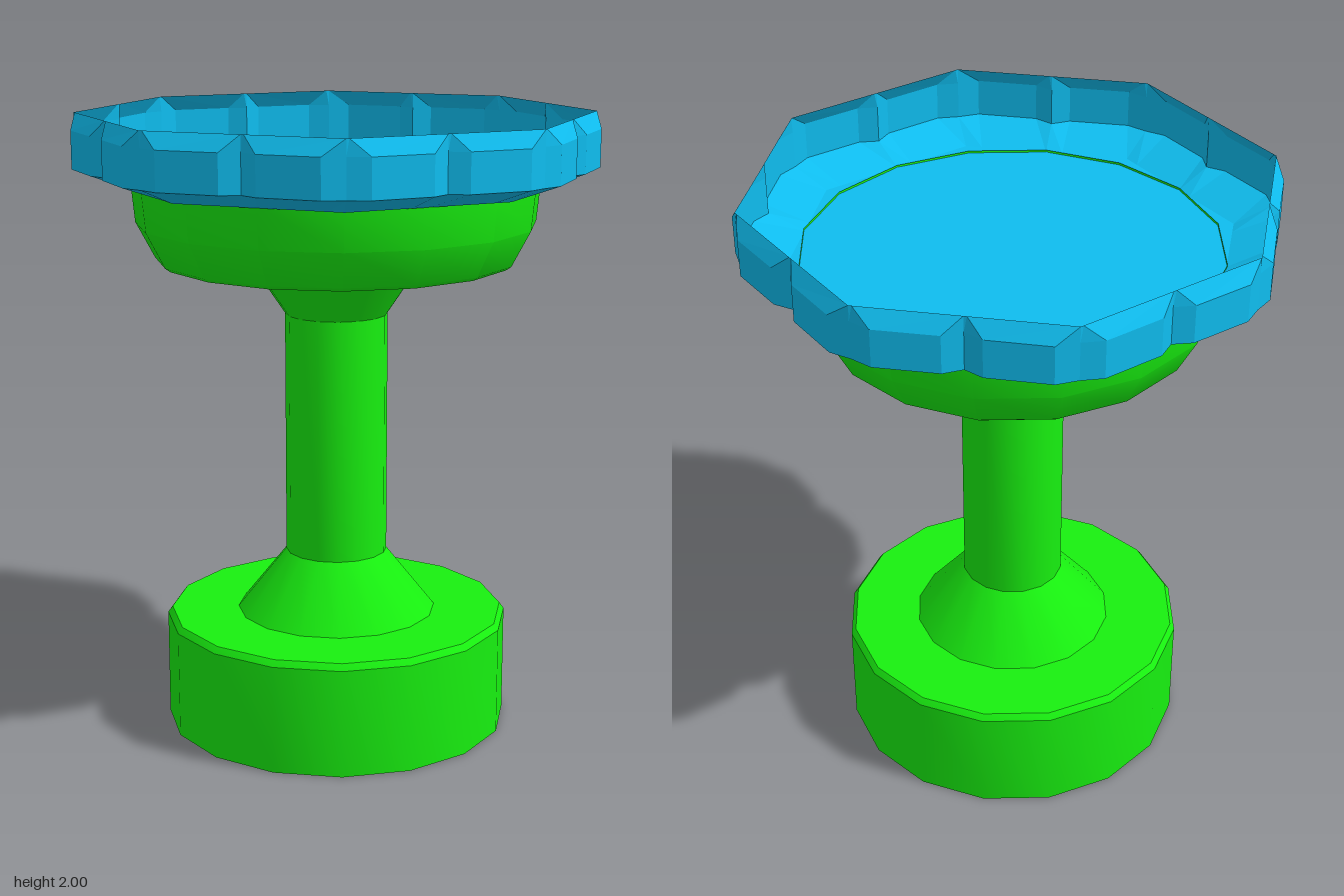
import * as THREE from 'three';
import { toCreasedNormals } from 'three/addons/utils/BufferGeometryUtils.js';

const green = new THREE.MeshStandardMaterial({ color: 0x18f010, side: THREE.DoubleSide });
const blue = new THREE.MeshStandardMaterial({ color: 0x0fbdef, side: THREE.DoubleSide, flatShading: true });

// Turned 16-sided part from [radius, height] pairs, bottom to top
function turned(name, profile) {
  const points = profile.map(([r, y]) => new THREE.Vector2(r, y));
  const mesh = new THREE.Mesh(toCreasedNormals(new THREE.LatheGeometry(points, 16), 0.5), green);
  mesh.name = name;
  return mesh;
}

// Octagonal ring of 48 points; t says where the two middle points of each half side sit
function octagonRing(radius, y, t) {
  const ring = [];
  const middle = radius * Math.cos(Math.PI / 8);
  for (let i = 0; i < 16; i++) {
    const at = (k) => {
      const a = (k * Math.PI) / 8, r = k % 2 ? middle : radius;
      return new THREE.Vector3(r * Math.cos(a), y, r * Math.sin(a));
    };
    const a = at(i), b = at(i + 1);
    ring.push(a, a.clone().lerp(b, t), a.clone().lerp(b, 1 - t));
  }
  return ring;
}

// The same ring with a raised pad on every half side
function paddedRing(radius, y) {
  const ring = octagonRing(radius, y, 0.2);
  for (let i = 0; i < 16; i++) {
    const wide = [0.828, 0.0846], narrow = [0.79, 0.321];
    const pads = i % 2 ? [narrow, wide] : [wide, narrow];
    pads.forEach(([r, offset], k) => {
      const a = i % 2 ? ((i + 1) * Math.PI) / 8 - offset : (i * Math.PI) / 8 + offset;
      ring[i * 3 + 1 + k].set(r * Math.cos(a), y, r * Math.sin(a));
    });
  }
  return ring;
}

// Joins rings from bottom to top with outward-facing quads
function skin(rings) {
  const n = rings[0].length, index = [];
  for (let j = 0; j < rings.length - 1; j++) {
    for (let i = 0; i < n; i++) {
      const a = j * n + i, b = j * n + ((i + 1) % n);
      index.push(a, a + n, b, b, a + n, b + n);
    }
  }
  const geometry = new THREE.BufferGeometry().setFromPoints(rings.flat());
  geometry.setIndex(index);
  geometry.computeVertexNormals();
  return geometry;
}

export function createModel() {
  const model = new THREE.Group();
  model.name = 'pedestalDish';

  // Hollow base, open underneath
  model.add(turned('base', [[0.56, 0], [0.56, 0.35], [0.545, 0.37], [0.325, 0.37]]));

  // Stem flaring at both ends
  model.add(turned('stem', [[0.325, 0.37], [0.165, 0.57], [0.165, 1.36], [0.28, 1.53]]));

  // Bowl under the dish, its lip just above the dish floor
  model.add(turned('bowl', [[0.28, 1.53], [0.56, 1.53], [0.577, 1.542], [0.637, 1.655], [0.65, 1.787]]));

  // Thin dish wall with pads around it
  const rim = new THREE.Mesh(skin([
    octagonRing(0.7, 1.78, 0.2),
    paddedRing(0.82, 1.83),
    paddedRing(0.82, 1.95),
    octagonRing(0.82, 2, 0.03),
  ]), blue);
  rim.name = 'dishRim';
  model.add(rim);

  // Flat octagonal dish floor
  const floor = new THREE.Mesh(new THREE.CircleGeometry(0.7, 8).rotateX(-Math.PI / 2), blue);
  floor.position.y = 1.78;
  floor.name = 'dishFloor';
  model.add(floor);

  return model;
}
